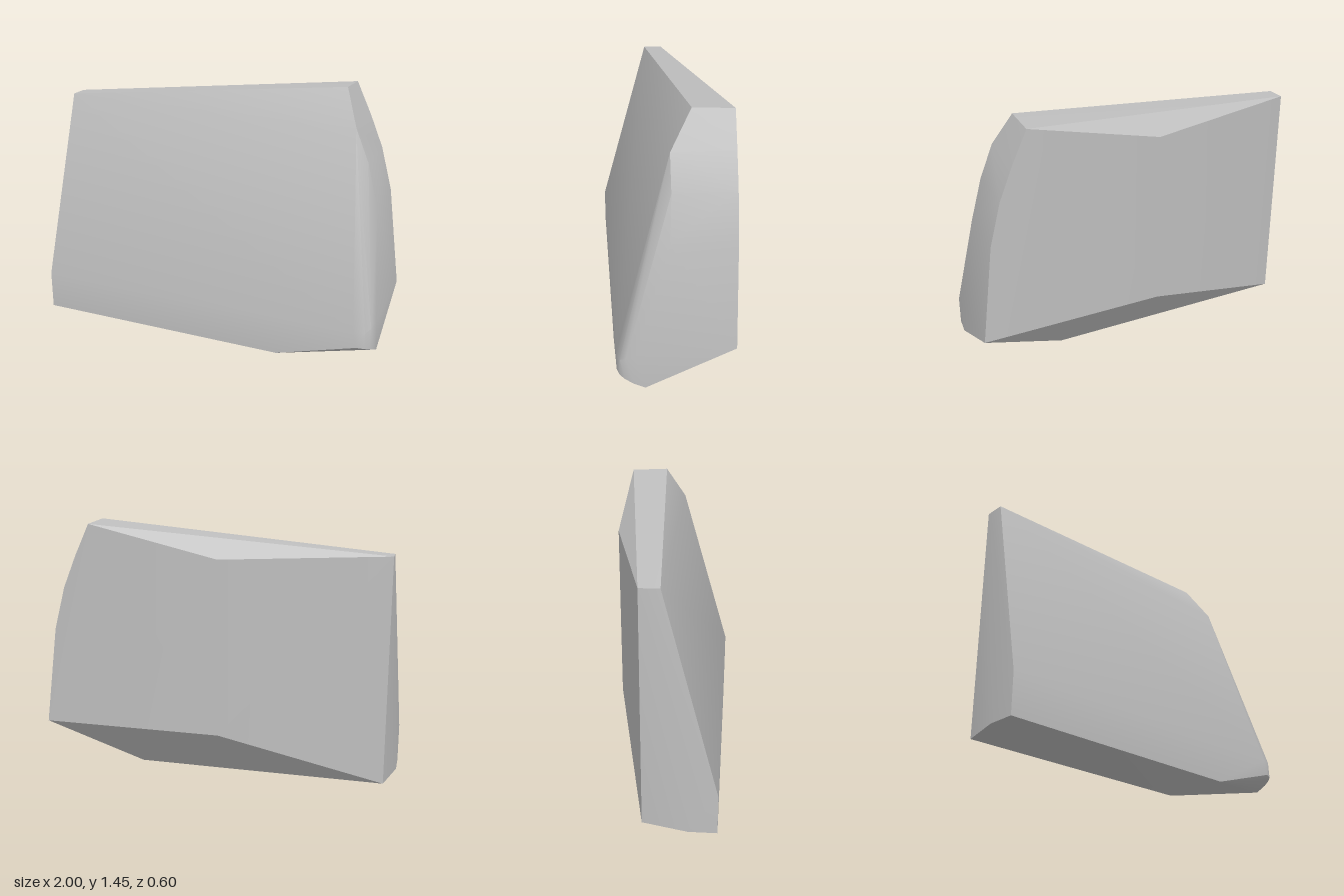
import * as THREE from 'three';
import { ConvexGeometry } from 'three/addons/geometries/ConvexGeometry.js';
import { toCreasedNormals } from 'three/addons/utils/BufferGeometryUtils.js';

const stone = new THREE.MeshStandardMaterial({ color: 0xbfbfbf });
stone.name = 'stone grey';

export function createModel() {
  const group = new THREE.Group();
  group.name = 'rockSlab';

  // Corners of the slab, grouped by area
  const top = [
    [-0.94, 1.29, -0.09], [-0.94, 1.29, 0.015], [0.7, 1.45, -0.09],
    [0.7, 1.44, -0.3], [-0.03, 1.27, -0.3],
  ];
  const base = [
    [-1, 0, 0.3], [-1, 0, 0.15], [-0.94, 0, -0.09], [0.49, 0, -0.09], [0.47, 0, 0.3],
  ];
  const back = [[-0.03, 0.28, -0.3], [1, 0.28, -0.3]];
  const frontFoot = [[-1, 0.22, 0.3], [0.9, 0.22, 0.3], [0.92, 0.135, 0.3]];
  const rightFoot = [
    [0.96, 0.13, 0.288], [0.96, 0.22, 0.285], [0.985, 0.12, 0.262],
    [0.985, 0.24, 0.255], [1, 0.1, 0.22], [1, 0.26, 0.21], [1, 0.07, 0.16],
  ];
  // Bowed right edge, from the back to the front
  const rightEdge = [
    [0.785, 1.26, -0.3], [0.785, 1.26, 0.02], [0.86, 1.08, -0.3],
    [0.86, 1.08, 0.02], [0.925, 0.84, -0.3], [0.925, 0.84, 0.03],
  ];

  const corners = [top, base, back, frontFoot, rightFoot, rightEdge]
    .flat().map((p) => new THREE.Vector3(...p));
  const geometry = toCreasedNormals(new ConvexGeometry(corners), 0.55);
  const slab = new THREE.Mesh(geometry, stone);
  slab.name = 'slab';
  group.add(slab);
  return group;
}
